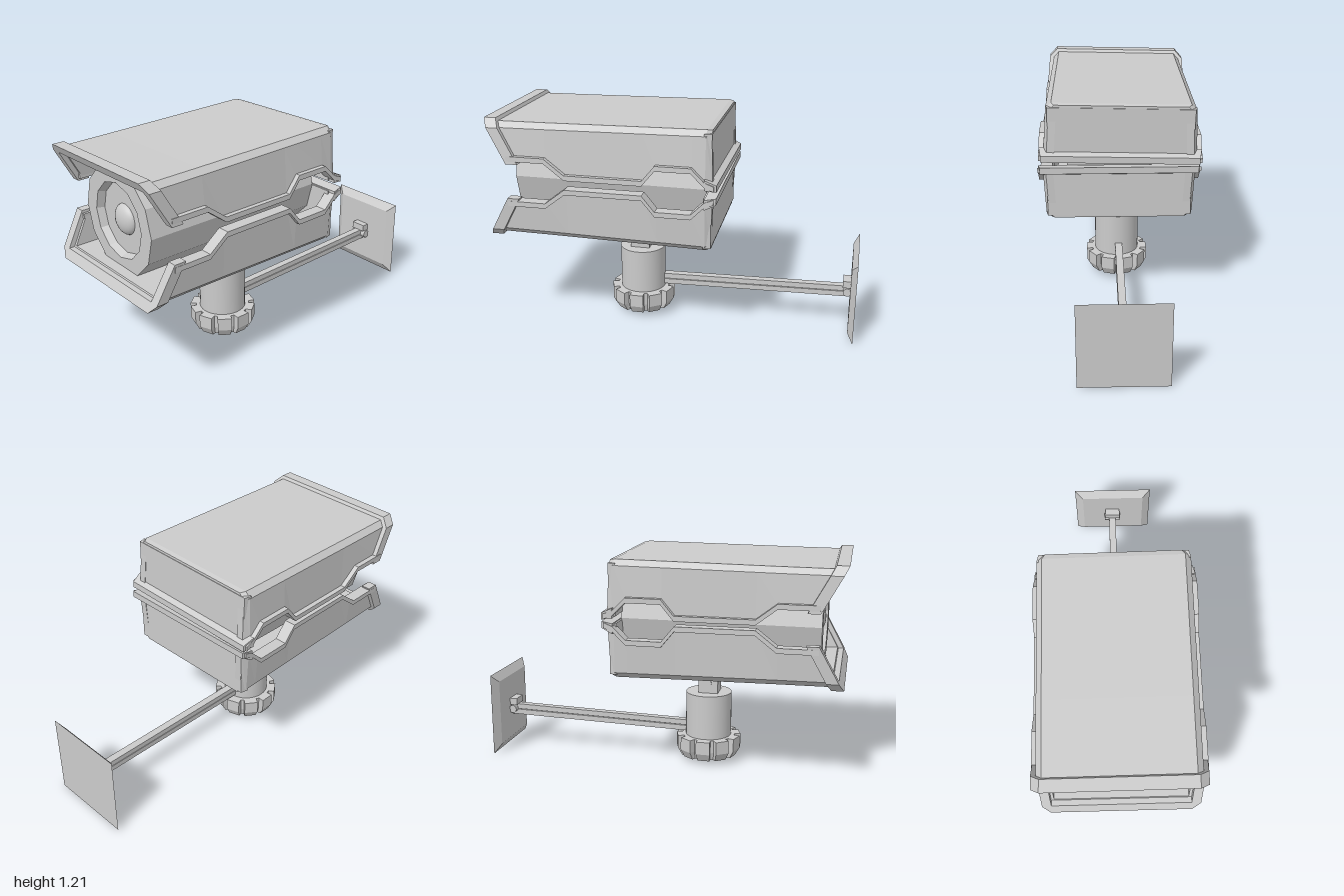
import * as THREE from 'three';

const flat = new THREE.MeshStandardMaterial({ color: 0xcccccc, flatShading: true });
const smooth = new THREE.MeshStandardMaterial({ color: 0xcccccc });

function add(parent, name, geometry, x = 0, y = 0, z = 0, material = flat) {
  const mesh = new THREE.Mesh(geometry, material);
  mesh.name = name;
  mesh.position.set(x, y, z);
  parent.add(mesh);
  return mesh;
}

// Solid through counter-clockwise rings of [x, y, z], listed from low z to high z
function loft(rings) {
  const n = rings[0].length, index = [];
  for (let i = 0; i < rings.length - 1; i++) {
    for (let j = 0; j < n; j++) {
      const k = (j + 1) % n, a = i * n + j, b = i * n + k;
      index.push(a, b, b + n, a, b + n, a + n);
    }
  }
  const last = (rings.length - 1) * n;
  const outline = rings[0].map(p => new THREE.Vector2(p[0], p[1]));
  for (const [a, b, c] of THREE.ShapeUtils.triangulateShape(outline, [])) {
    index.push(c, b, a, last + a, last + b, last + c);
  }
  const g = new THREE.BufferGeometry();
  g.setAttribute('position', new THREE.Float32BufferAttribute(rings.flat(2), 3));
  g.setIndex(index);
  g.computeVertexNormals();
  return g;
}

const rect = (x0, x1, y0, y1, z) => [[x0, y0, z], [x1, y0, z], [x1, y1, z], [x0, y1, z]];

// Upside-down U section with chamfered corners; zAt gives z from height
function uSection(w, wTop, top, edge, c, t, zAt) {
  return [
    [w, edge], [wTop, top - c], [wTop - c, top], [c - wTop, top], [-wTop, top - c], [-w, edge],
    [t - w, edge], [t - wTop, top - t], [wTop - t, top - t], [w - t, edge],
  ].map(([x, y]) => [x, y, zAt(y)]);
}

// Lower edge of a half shell: [z, height above the parting plane]
const edge = [[-0.25, 0.01], [-0.2, 0.03], [-0.13, 0.1], [0.06, 0.1], [0.13, 0.015],
  [0.55, 0.015], [0.66, 0.1], [0.87, 0.1]];

function halfShell(name) {
  const g = new THREE.Group();
  g.name = name;
  const slant = y => 0.88 + 0.55 * (y - 0.1);

  // Cover with cut-out sides
  add(g, 'cover', loft(edge.map(([z, h], i) => {
    const back = i === 0, front = i === edge.length - 1;
    const top = 0.319 - 0.015 * (z + 0.23) - (back ? 0.006 : 0);
    const w = back ? 0.395 : 0.412;
    return uSection(w, w - 0.012, top, h + 0.015, 0.03, 0.04,
      y => front ? slant(y) - 0.03 : back ? -0.235 + 0.04 * (y - 0.1) : z);
  })));
  // Back wall
  add(g, 'backWall', loft([
    rect(-0.39, 0.39, 0.02, 0.3, -0.23), rect(-0.4, 0.4, 0.02, 0.3, -0.19),
  ]));
  // Flange following the side edges and the back
  for (const s of [1, -1]) {
    add(g, 'sideFlange', loft(edge.map(([z, h]) => {
      const x = s * 0.372, out = s * 0.438;
      return rect(Math.min(x, out), Math.max(x, out), h, h + 0.028, z);
    })));
  }
  add(g, 'backFlange', loft([
    rect(-0.425, 0.425, 0.006, 0.042, -0.262), rect(-0.437, 0.437, 0.015, 0.07, -0.2),
  ]));
  // Raised, raked lip around the front opening
  add(g, 'frontLip', loft([0.065, 0].map(d =>
    uSection(0.438, 0.425, 0.32, 0.085, 0.045, 0.05, y => slant(y) - d))));
  return g;
}

export function createModel() {
  const model = new THREE.Group();
  model.name = 'securityCamera';

  // Housing halves
  const upper = halfShell('upperShell');
  upper.position.set(0, 0.883, 0);
  upper.rotation.z = 0.025;
  const lower = halfShell('lowerShell');
  lower.position.set(0.005, 0.874, 0);
  lower.rotation.z = Math.PI;
  model.add(upper, lower);

  // Lens barrel with recessed front and glass bulb
  const lens = new THREE.Group();
  lens.name = 'lens';
  lens.position.set(0, 0.862, 0);
  model.add(lens);
  const profile = [[0, -0.19], [0.285, -0.19], [0.292, 0.88], [0.205, 0.88], [0.19, 0.84], [0, 0.84]]
    .map(p => new THREE.Vector2(...p));
  const barrel = add(lens, 'barrel', new THREE.LatheGeometry(profile, 12).rotateX(Math.PI / 2));
  barrel.rotation.y = -0.015;
  const bulb = add(lens, 'lensBulb', new THREE.SphereGeometry(0.083, 24, 16), -0.004, 0, 0.835, smooth);
  bulb.scale.z = 0.55;

  // Swivel mount: column, neck and two thin tabs
  const mx = 0.01, mz = 0.238;
  const column = new THREE.CylinderGeometry(0.13, 0.13, 0.26, 32);
  add(model, 'column', column, mx, 0.27, mz, smooth);
  add(model, 'neck', new THREE.BoxGeometry(0.11, 0.12, 0.11), 0.013, 0.452, 0.242);
  for (const x of [-0.04, 0.066]) {
    add(model, 'neckTab', new THREE.BoxGeometry(0.005, 0.09, 0.04), x, 0.53, 0.24);
  }
  const bolt = new THREE.CylinderGeometry(0.02, 0.02, 0.125, 10).rotateZ(Math.PI / 2);
  add(model, 'neckBolt', bolt, 0.013, 0.46, 0.242);

  // Toothed adjustment knob
  const teeth = 10;
  const gear = (r, inner, z) => {
    const ring = [];
    for (let i = 0; i < teeth; i++) {
      for (const [f, rad] of [[-0.34, r], [0.34, r], [0.4, inner], [0.6, inner]]) {
        const a = (i + f) / teeth * Math.PI * 2;
        ring.push([Math.cos(a) * rad, Math.sin(a) * rad, z]);
      }
    }
    return ring;
  };
  const knob = loft([gear(0.16, 0.14, 0.03), gear(0.185, 0.15, 0.075), gear(0.185, 0.15, 0.148)]);
  add(model, 'knob', knob.rotateX(-Math.PI / 2), mx, 0, mz);

  // Twin arm bars rising toward the wall
  for (const y of [0.186, 0.22]) {
    add(model, 'armBar', loft([
      rect(-0.021, 0.021, y, y + 0.03, -0.965), rect(-0.021, 0.021, y - 0.026, y + 0.004, 0.14),
    ]));
  }

  // Wall bracket and bevelled plate
  add(model, 'bracket', new THREE.BoxGeometry(0.09, 0.04, 0.05), 0, 0.268, -0.95);
  const pin = new THREE.CylinderGeometry(0.024, 0.024, 0.1, 10).rotateZ(Math.PI / 2);
  add(model, 'bracketPin', pin, 0, 0.222, -0.952);
  add(model, 'wallPlate', loft([
    rect(-0.232, 0.238, 0, 0.474, -1), rect(-0.185, 0.192, 0.048, 0.428, -0.968),
  ]));
  return model;
}
